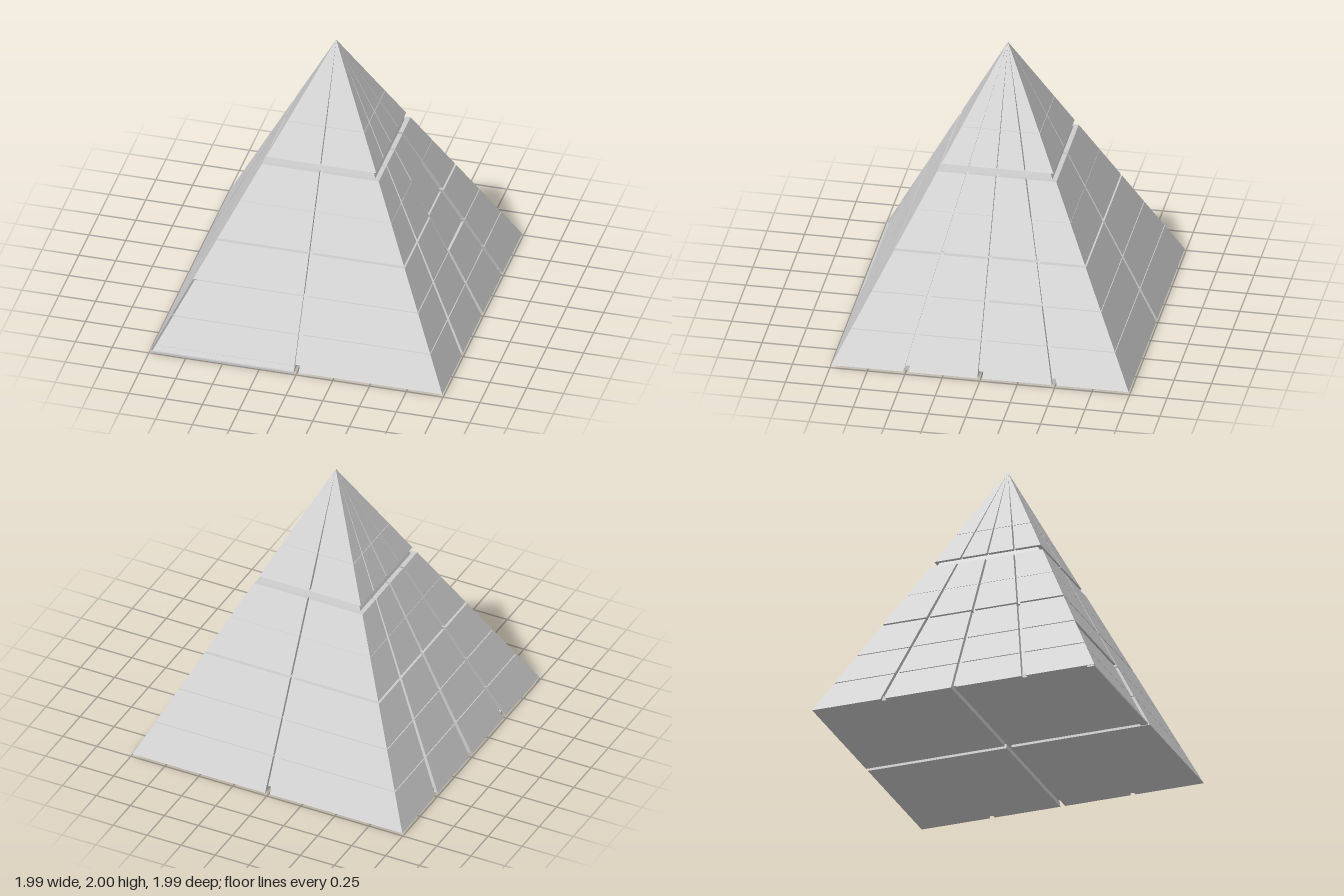
import * as THREE from 'three';

const DEPTH = 0.03;                       // depth of the seams between panels
const half = (y) => 1 - y / 2;            // half width of the pyramid at height y
const material = new THREE.MeshStandardMaterial({ color: 0xcccccc, flatShading: true });

// Solid with four-sided ends: lower ring a, upper ring b (counter-clockwise from above)
function hexahedron(a, b) {
  const p = [...a, ...b];
  const quads = [[3, 2, 1, 0], [4, 5, 6, 7]];
  for (let i = 0; i < 4; i++) {
    const j = (i + 1) % 4;
    quads.push([i, j, j + 4, i + 4]);
  }
  const pos = [];
  for (const [i, j, k, l] of quads) for (const n of [i, j, k, i, k, l]) pos.push(...p[n]);
  const g = new THREE.BufferGeometry();
  g.setAttribute('position', new THREE.Float32BufferAttribute(pos, 3));
  g.computeVertexNormals();
  return g;
}

// One facing panel of the +z side, between height y0..y1 and fractions u0..u1 of the width
function panelGeometry(y0, y1, u0, u1) {
  const ring = (y) => {
    const h = half(y), inner = Math.max(h - DEPTH, 0);
    const gap = 0.017 * h;
    const edge = (u, s, d) => (Math.abs(u) === 1 ? u * d : u * h + s * gap);
    const clampTo = (x, d) => Math.max(-d, Math.min(d, x));
    return [
      [edge(u0, 1, h), y, h],
      [edge(u1, -1, h), y, h],
      [clampTo(edge(u1, -1, inner), inner), y, inner],
      [clampTo(edge(u0, 1, inner), inner), y, inner],
    ];
  };
  return hexahedron(ring(y0), ring(y1));
}

function squareRing(y, h) {
  return [[-h, y, h], [h, y, h], [h, y, -h], [-h, y, -h]];
}

export function createModel() {
  const group = new THREE.Group();
  const add = (name, geometry, parent = group) => {
    const mesh = new THREE.Mesh(geometry, material);
    mesh.name = name;
    parent.add(mesh);
    return mesh;
  };

  // Inner core, interrupted at the waist and at the cap
  const core = (name, y0, y1) => add(name, hexahedron(
    squareRing(y0, half(y0) - DEPTH), squareRing(y1, half(y1) - DEPTH)));
  core('lowerCore', 0.045, 0.718);
  core('middleCore', 0.732, 1.205);
  core('capCore', 1.252, 1.938);
  add('waist', hexahedron(squareRing(0.71, 0.48), squareRing(0.74, 0.48)));
  add('capNeck', hexahedron(squareRing(1.2, 0.368), squareRing(1.26, 0.345)));

  // Four slabs under the base, with crossing channels between them
  for (const sx of [-1, 1]) for (const sz of [-1, 1]) {
    const slab = add('baseSlab', new THREE.BoxGeometry(0.947, 0.03, 0.947));
    slab.position.set(sx * 0.4905, 0.03, sz * 0.4905);
  }

  // Facing panels on all four sides, tier by tier
  const tiers = [
    [0.015, 0.237], [0.243, 0.467], [0.473, 0.718], [0.732, 0.971],
    [0.973, 1.205], [1.252, 1.478], [1.481, 2],
  ];
  const twoColumns = [-1, 0, 1];
  const fourColumns = [-1, -0.5, 0, 0.5, 1];
  const sides = [
    ['front', 0, twoColumns], ['left', Math.PI / 2, fourColumns],
    ['back', Math.PI, twoColumns], ['right', -Math.PI / 2, fourColumns],
  ];
  for (const [name, angle, columns] of sides) {
    const side = new THREE.Group();
    side.name = name + 'Side';
    side.rotation.y = angle;
    group.add(side);
    tiers.forEach(([y0, y1], t) => {
      for (let c = 0; c < columns.length - 1; c++) {
        const panel = add(name + 'Panel', panelGeometry(y0, y1, columns[c], columns[c + 1]), side);
        // Loose lower panels at one front corner
        if (name === 'front' && c === 0 && t < 2) panel.position.set(-0.004, -0.008, -0.01);
        // Sunken door panels
        if (name === 'left' && c === 2 && (t === 2 || t === 3)) {
          panel.position.z = -0.012;
          panel.name = 'doorPanel';
        }
      }
    });
  }

  // Thin sill below the loose panels
  const sill = add('cornerSill', new THREE.BoxGeometry(0.975, 0.012, 0.05));
  sill.position.set(-0.508, 0.006, 0.968);
  return group;
}
